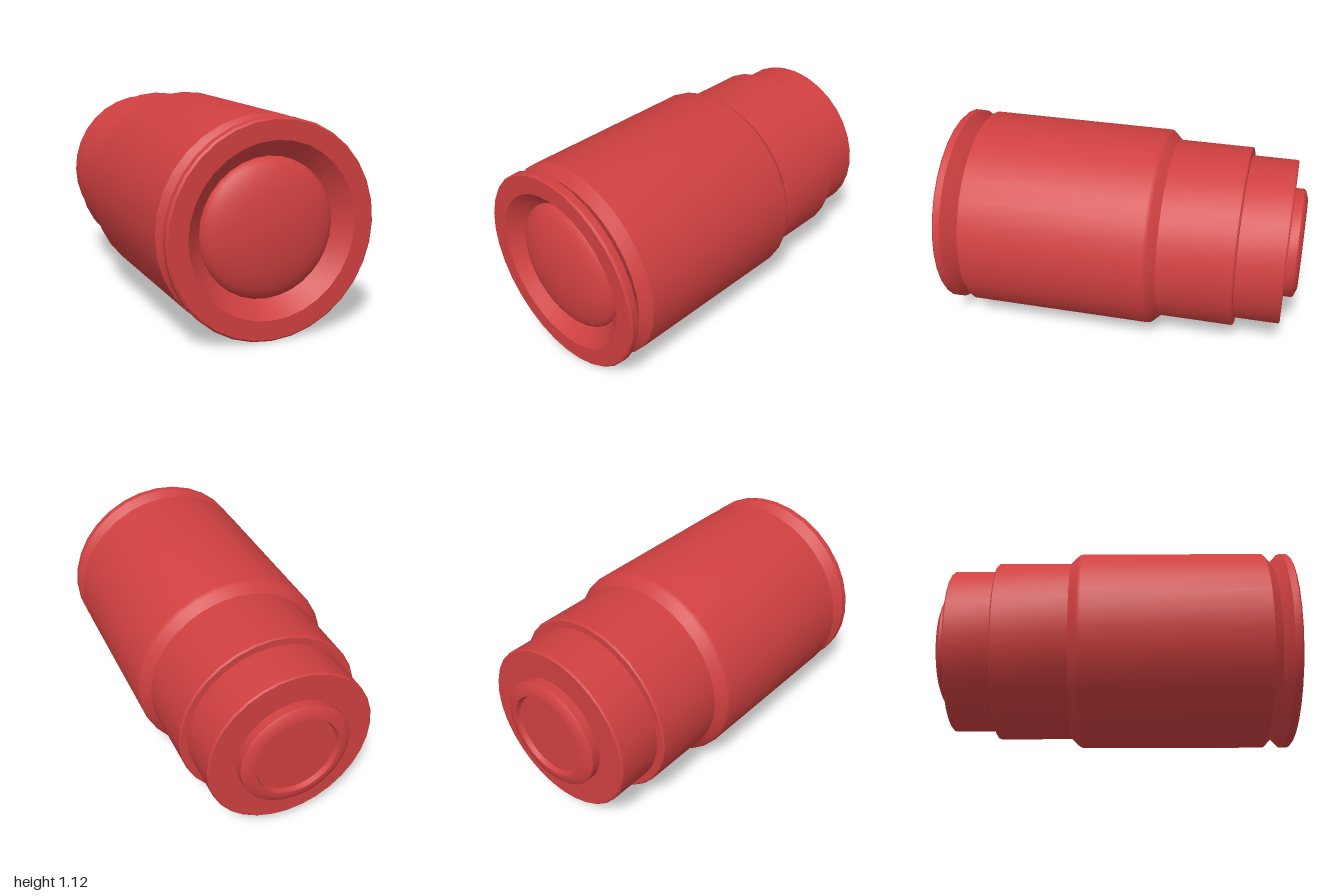
import * as THREE from 'three';
import { toCreasedNormals } from 'three/addons/utils/BufferGeometryUtils.js';

const SIDES = 32;
const red = new THREE.MeshStandardMaterial({ color: 0xd04040 });
red.name = 'red';

// Revolves [radius, z] pairs, listed from back to front, around the z axis
function turned(name, profile) {
  const points = profile.map(([r, z]) => new THREE.Vector2(r, z));
  const lathe = new THREE.LatheGeometry(points, SIDES).rotateX(Math.PI / 2);
  const mesh = new THREE.Mesh(toCreasedNormals(lathe, 0.5), red);
  mesh.name = name;
  return mesh;
}

export function createModel() {
  const model = new THREE.Group();
  model.name = 'lensBarrel';
  const axis = new THREE.Group();
  axis.name = 'barrelAxis';
  axis.position.y = 0.563;
  model.add(axis);

  // Rear mount ring with a shallow recess
  axis.add(turned('rearMount', [
    [0, -0.975], [0.225, -0.975], [0.235, -1], [0.255, -1],
    [0.295, -0.985], [0.306, -0.975], [0.306, -0.925],
  ]));

  // Two stepped collars behind the main barrel
  axis.add(turned('rearCollar', [
    [0.306, -0.928], [0.455, -0.928], [0.463, -0.92], [0.463, -0.67],
  ]));
  axis.add(turned('middleCollar', [
    [0.463, -0.672], [0.5, -0.672], [0.508, -0.664], [0.508, -0.257],
  ]));

  // Main barrel with chamfered shoulder and front V groove
  axis.add(turned('mainBarrel', [
    [0.508, -0.257], [0.55, -0.213], [0.557, -0.203], [0.56, -0.19],
    [0.56, 0.828], [0.505, 0.88],
  ]));

  // Front rim and the conical wall leading to the lens
  axis.add(turned('frontRim', [
    [0.505, 0.88], [0.56, 0.93], [0.56, 0.966], [0.55, 0.976], [0.45, 0.976],
  ]));
  axis.add(turned('lensFunnel', [[0.45, 0.976], [0.355, 0.885]]));

  // Flattened dome lens
  const dome = new THREE.SphereGeometry(0.362, SIDES, 14, 0, Math.PI * 2, 0, Math.PI / 2);
  dome.rotateX(Math.PI / 2).scale(1, 1, 0.115 / 0.362);
  const lens = new THREE.Mesh(dome, red);
  lens.name = 'frontLens';
  lens.position.z = 0.885;
  axis.add(lens);

  return model;
}
